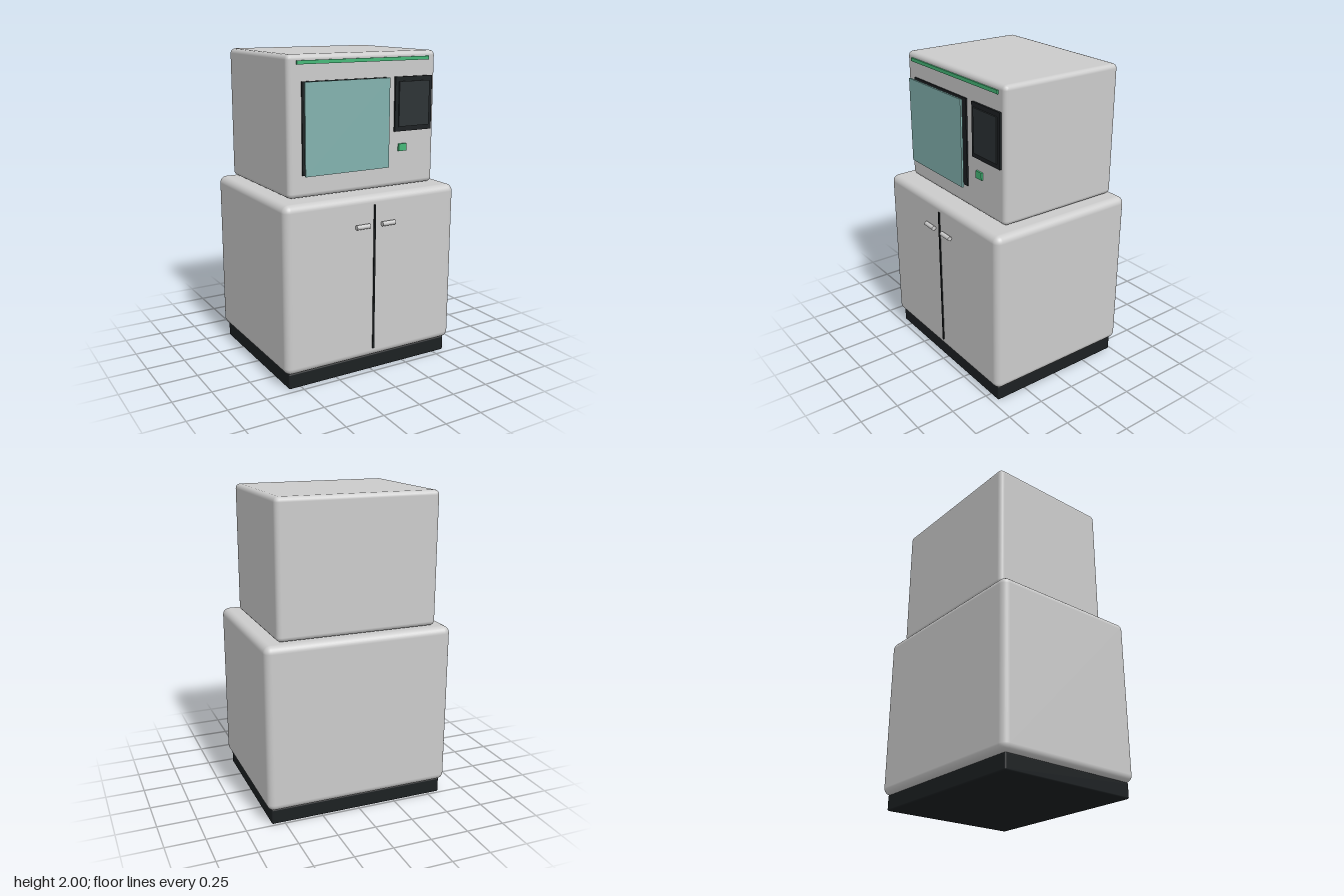
import * as THREE from 'three';
import { RoundedBoxGeometry } from 'three/addons/geometries/RoundedBoxGeometry.js';

const mat = (color) => new THREE.MeshStandardMaterial({ color });

export function createModel() {
  const model = new THREE.Group();
  const grey = mat(0xcccccc);
  const black = mat(0x1c2022);
  const dark = mat(0x2c3234);
  const green = mat(0x45b878);
  const teal = mat(0x82b2ae);
  const blue = mat(0x6a9cbc);

  // Box given by its [min, max] extents; a radius rounds its edges
  function box(name, x, y, z, material, radius = 0, segments = 2) {
    const w = x[1] - x[0], h = y[1] - y[0], d = z[1] - z[0];
    const geometry = radius
      ? new RoundedBoxGeometry(w, h, d, segments, radius)
      : new THREE.BoxGeometry(w, h, d);
    const mesh = new THREE.Mesh(geometry, material);
    mesh.position.set((x[0] + x[1]) / 2, (y[0] + y[1]) / 2, (z[0] + z[1]) / 2);
    mesh.name = name;
    model.add(mesh);
  }

  // Main bodies
  box('plinth', [-0.582, 0.582], [0, 0.1], [-0.488, 0.462], black, 0.01);
  box('cabinet', [-0.61, 0.61], [0.098, 1.155], [-0.52, 0.49], grey, 0.045, 4);
  box('upperUnit', [-0.52, 0.52], [1.16, 2], [-0.474, 0.366], grey, 0.03, 2);

  // Cabinet doors: seam and bar handles
  box('doorSeam', [-0.006, 0.006], [0.155, 1.097], [0.48, 0.497], black);
  for (const side of [-1, 1]) {
    const handle = new THREE.Mesh(new THREE.CylinderGeometry(0.015, 0.015, 0.093, 12), grey);
    handle.rotation.z = Math.PI / 2;
    handle.position.set(side * 0.092, 0.972, 0.506);
    handle.name = side < 0 ? 'rightHandle' : 'leftHandle';
    model.add(handle);
  }

  // Window: dark recess plate, three shelf bars, glass pane
  box('windowBacking', [-0.43, 0.15], [1.297, 1.847], [0.35, 0.375], black);
  for (let i = 0; i < 3; i++) {
    const y = 1.41 + i * 0.175;
    box('shelfBar', [-0.383, 0.104], [y - 0.05, y + 0.05], [0.372, 0.397], blue, 0.008);
  }
  box('windowGlass', [-0.43, 0.15], [1.297, 1.847], [0.401, 0.413], teal);

  // Control panel, start button and light strip
  box('controlPanel', [0.213, 0.487], [1.51, 1.847], [0.35, 0.379], black);
  box('controlScreen', [0.238, 0.463], [1.54, 1.818], [0.37, 0.387], dark);
  box('startButton', [0.246, 0.304], [1.385, 1.431], [0.35, 0.379], green);
  box('lightStrip', [-0.46, 0.46], [1.944, 1.966], [0.35, 0.375], green);

  return model;
}
